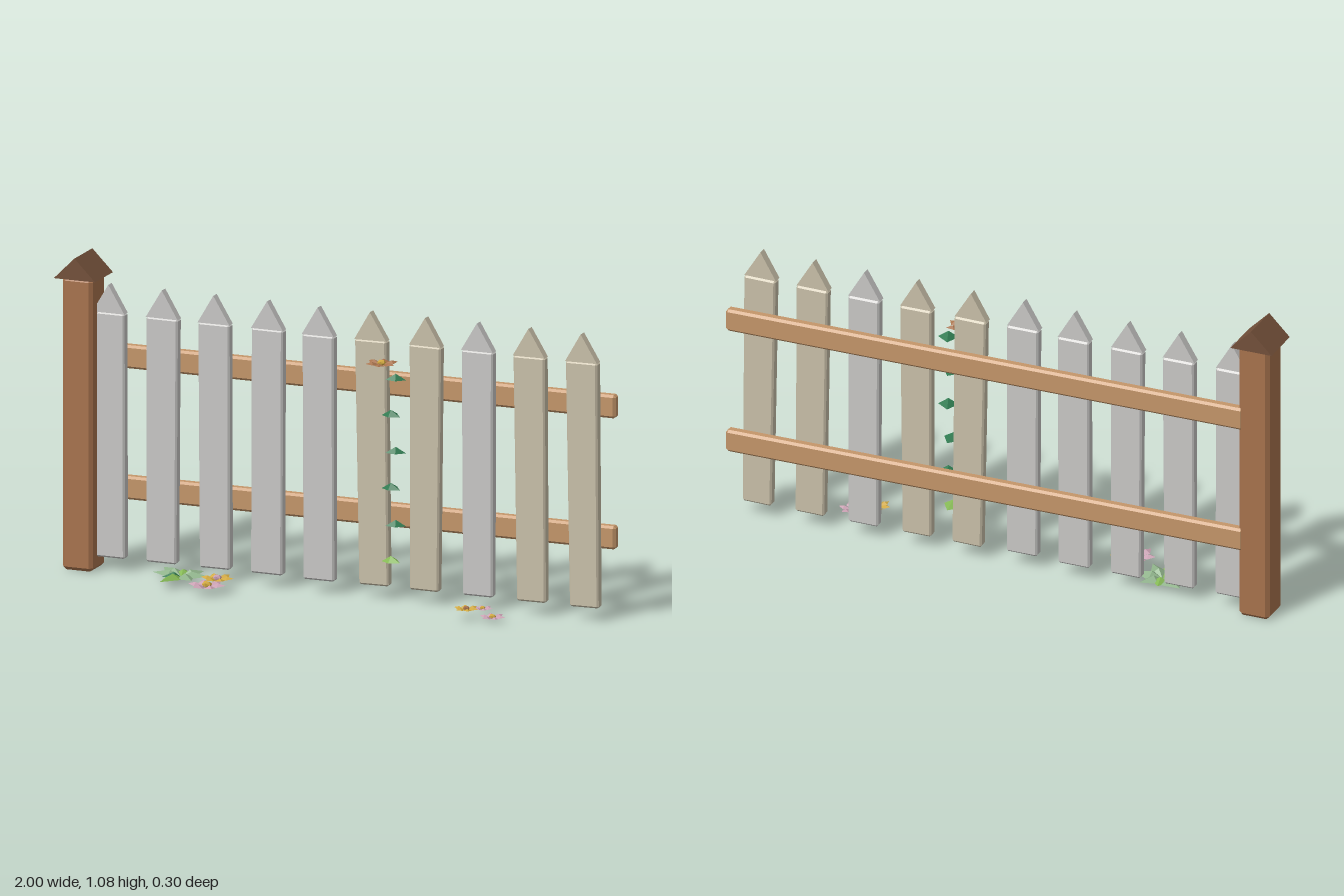
import * as THREE from 'three';
import { ConvexGeometry } from 'three/addons/geometries/ConvexGeometry.js';

const mat = (name, color, side = THREE.FrontSide) => {
  const m = new THREE.MeshStandardMaterial({ color, side });
  m.name = name;
  return m;
};

// Box with chamfered edges; taper narrows the bottom in x
function chamferBox(w, h, d, c, taper = 1) {
  const pts = [];
  for (const sx of [-1, 1]) for (const sy of [-1, 1]) for (const sz of [-1, 1]) {
    const x = sx * w / 2 * (sy < 0 ? taper : 1), y = sy * h / 2, z = sz * d / 2;
    pts.push(new THREE.Vector3(x, y - sy * c, z - sz * c));
    pts.push(new THREE.Vector3(x - sx * c, y, z - sz * c));
    pts.push(new THREE.Vector3(x - sx * c, y - sy * c, z));
  }
  return new ConvexGeometry(pts);
}

// Gable-shaped prism with its ridge along z, standing on y = 0
function gable(w, h, d) {
  const pts = [];
  for (const z of [-d / 2, d / 2]) {
    pts.push(new THREE.Vector3(-w / 2, 0, z), new THREE.Vector3(w / 2, 0, z), new THREE.Vector3(0, h, z));
  }
  return new ConvexGeometry(pts);
}

// Folded leaf from the origin along +z: two sides meeting at a raised ridge
function leafGeometry(len, width, fold, mid) {
  const b = [0, 0, 0], l = [-width / 2, 0, len * mid], r = [width / 2, 0, len * mid];
  const m = [0, fold, len * mid], t = [0, 0, len];
  const g = new THREE.BufferGeometry();
  const faces = [b, l, m, b, m, r, l, t, m, m, t, r];
  g.setAttribute('position', new THREE.Float32BufferAttribute(faces.flat(), 3));
  g.computeVertexNormals();
  return g;
}

export function createModel() {
  const root = new THREE.Group();
  root.name = 'picketFence';

  const grey = mat('weatheredGrey', 0xc9c8c6);
  const cream = mat('agedCream', 0xc9c0a9);
  const brown = mat('postBrown', 0xa8734d, THREE.DoubleSide);
  const tan = mat('railTan', 0xc4966a);
  const dark = mat('capBrown', 0x73503a);
  const deepGreen = mat('deepGreen', 0x2f7a50, THREE.DoubleSide);
  const sage = mat('sageGreen', 0x8db088, THREE.DoubleSide);
  const lime = mat('limeGreen', 0x86ba55, THREE.DoubleSide);
  const yellow = mat('petalYellow', 0xd0a840, THREE.DoubleSide);
  const pink = mat('petalPink', 0xc9a0b2, THREE.DoubleSide);

  const add = (parent, name, geo, material, x = 0, y = 0, z = 0) => {
    const m = new THREE.Mesh(geo, material);
    m.name = name;
    m.position.set(x, y, z);
    parent.add(m);
    return m;
  };

  // End post and its gabled cap
  add(root, 'post', chamferBox(0.11, 1.01, 0.115, 0.012), brown, -0.925, 0.517, -0.077);
  add(root, 'postCap', gable(0.15, 0.075, 0.153), dark, -0.925, 1.02, -0.077);

  // Two rails, running slightly askew
  for (const y of [0.295, 0.747]) {
    const rail = add(root, 'rail', chamferBox(1.88, 0.08, 0.037, 0.008), tan, 0.055, y, -0.122);
    rail.rotation.y = 0.005;
  }

  // Pickets: [cream?, lean, bottom taper, z offset]
  const pickets = [
    [0, 0.002, 1.0, 0], [0, -0.004, 0.96, 0], [0, 0.004, 0.96, 0], [0, -0.003, 1.0, 0],
    [0, 0.003, 0.98, 0.01], [1, 0.014, 0.94, 0], [1, -0.005, 0.92, 0.002], [0, 0.002, 0.95, 0],
    [1, 0.01, 0.92, 0], [1, 0.012, 0.92, 0],
  ];
  pickets.forEach(([isCream, lean, taper, dz], i) => {
    const p = new THREE.Group();
    p.name = 'picket';
    p.position.set(-0.828 + i * 0.1915, 0.48, -0.082 + dz);
    p.rotation.z = lean;
    const m = isCream ? cream : grey;
    add(p, 'picketBoard', chamferBox(0.114, 0.845, 0.036, 0.006, taper), m);
    add(p, 'picketTip', gable(0.116, 0.097, 0.03), m, 0, 0.422, 0.003);
    root.add(p);
  });

  // Climbing vine leaves
  const vineLeaf = leafGeometry(0.062, 0.07, 0.022, 0.7);
  for (let i = 0; i < 6; i++) {
    const leaf = add(root, 'vineLeaf', vineLeaf, i === 0 ? lime : deepGreen, 0.22, 0.155 + i * 0.126, -0.068);
    leaf.rotation.y = i % 2 ? 0.3 : -0.1;
  }

  // Leafy ground plant: [angle, length, width, colour]
  const plant = new THREE.Group();
  plant.name = 'groundPlant';
  plant.position.set(-0.545, 0.03, -0.02);
  const blades = [
    [-0.1, 0.15, 0.06, lime], [0.75, 0.1, 0.06, sage], [1.6, 0.1, 0.07, sage], [2.5, 0.09, 0.06, sage],
    [3.3, 0.07, 0.06, lime], [4.1, 0.11, 0.07, sage], [4.8, 0.1, 0.06, sage], [5.5, 0.07, 0.05, deepGreen],
  ];
  for (const [a, len, w, m] of blades) {
    const blade = add(plant, 'plantLeaf', leafGeometry(len, w, 0.018, 0.4), m);
    blade.rotation.set(-0.1, a, 0, 'YXZ');
  }
  root.add(plant);

  // Flowers: six folded petals round a button centre
  function flower(x, y, z, r, petal, heart) {
    const g = new THREE.Group();
    g.name = 'flower';
    g.position.set(x, y, z);
    const geo = leafGeometry(r, r * 0.6, r * 0.16, 0.62);
    for (let k = 0; k < 6; k++) {
      const p = add(g, 'petal', geo, petal);
      p.rotation.set(-0.15, k * Math.PI / 3 + x, 0, 'YXZ');
    }
    const c = add(g, 'flowerCentre', new THREE.IcosahedronGeometry(r * 0.27, 0), heart, 0, r * 0.16, 0);
    c.scale.y = 0.7;
    root.add(g);
  }
  flower(-0.405, 0.033, 0.088, 0.066, pink, yellow);
  flower(-0.39, 0.047, 0.035, 0.058, yellow, pink);
  flower(0.18, 0.83, -0.03, 0.058, brown, yellow);
  flower(0.53, 0.043, 0.068, 0.045, yellow, brown);
  flower(0.575, 0.042, 0.035, 0.036, pink, yellow);
  flower(0.62, 0.02, 0.055, 0.046, pink, yellow);

  return root;
}
